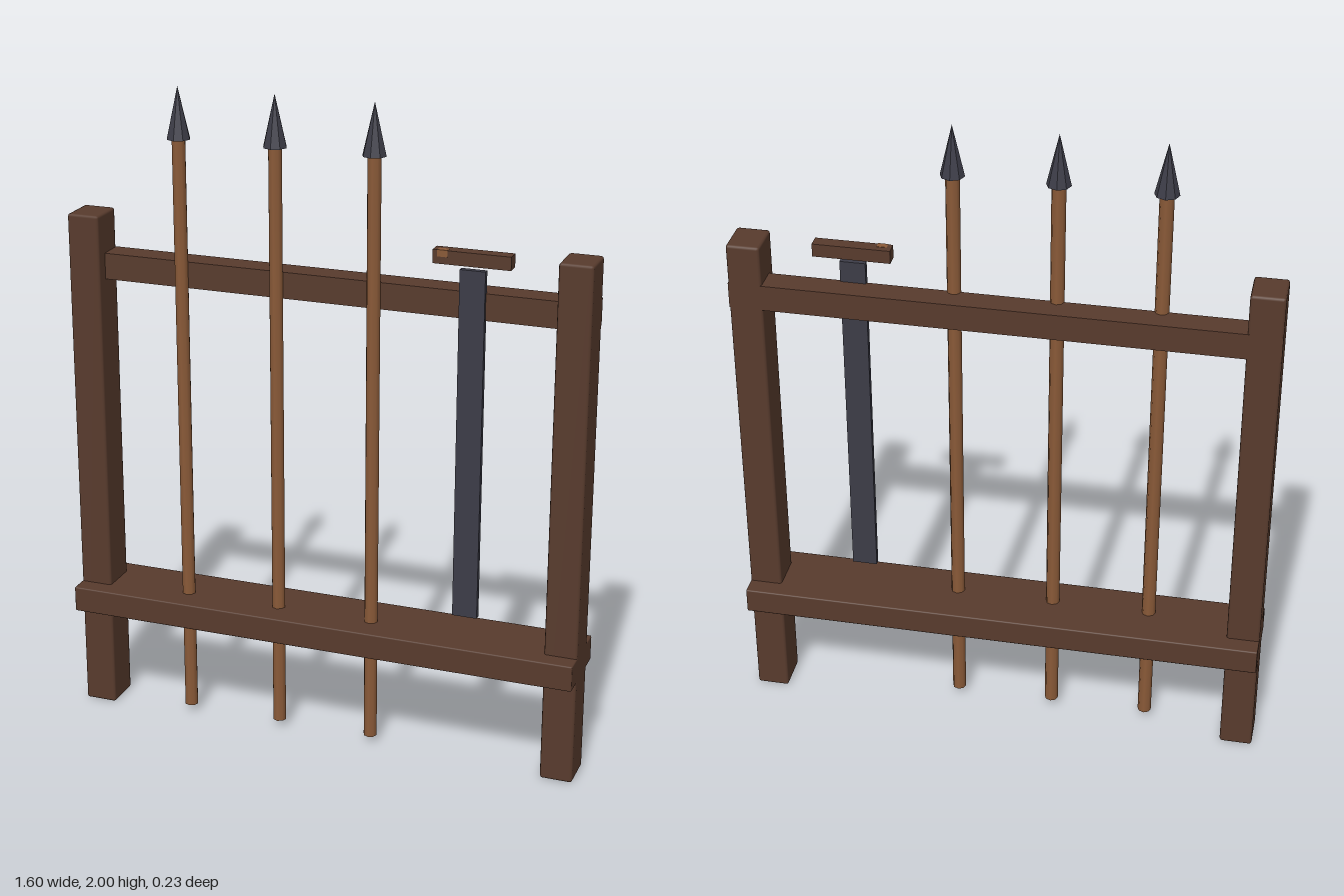
import * as THREE from 'three';
import { RoundedBoxGeometry } from 'three/addons/geometries/RoundedBoxGeometry.js';

const material = (name, color, flatShading = false) => {
  const m = new THREE.MeshStandardMaterial({ color, flatShading });
  m.name = name;
  return m;
};

export function createModel() {
  const darkWood = material('darkWood', 0x583b2d);
  const shaftWood = material('shaftWood', 0x8a5a38);
  const iron = material('iron', 0x3c3c47);
  iron.flatShading = true;

  const rack = new THREE.Group();
  rack.name = 'weaponRack';

  const add = (parent, name, geometry, mat, x, y, z) => {
    const mesh = new THREE.Mesh(geometry, mat);
    mesh.name = name;
    mesh.position.set(x, y, z);
    parent.add(mesh);
    return mesh;
  };

  // Bevelled upright posts
  for (const [name, side] of [['rightPost', -1], ['leftPost', 1]]) {
    add(rack, name, new RoundedBoxGeometry(0.1, 1.6, 0.12, 1, 0.008), darkWood, side * 0.75, 0.8, 0);
  }

  // Upper rail behind the weapons, and the wide lower shelf
  add(rack, 'topRail', new THREE.BoxGeometry(1.6, 0.08, 0.08), darkWood, 0, 1.438, -0.02);
  add(rack, 'shelf', new RoundedBoxGeometry(1.6, 0.08, 0.23, 1, 0.004), darkWood, 0, 0.37, 0);

  // Three spears standing through the shelf
  [-0.45, -0.15, 0.15].forEach((x, i) => {
    const spear = new THREE.Group();
    spear.name = `spear${i + 1}`;
    spear.position.set(x, 0, 0.021);
    add(spear, 'shaft', new THREE.CylinderGeometry(0.021, 0.021, 1.825, 8), shaftWood, 0, 0.9375, 0);
    add(spear, 'spearhead', new THREE.ConeGeometry(0.036, 0.154, 8), iron, 0, 1.923, 0);
    rack.add(spear);
  });

  // Hanging sword with a separate crossguard
  const sword = new THREE.Group();
  sword.name = 'sword';
  sword.position.set(0.446, 0, 0.021);
  add(sword, 'blade', new THREE.BoxGeometry(0.076, 1.068, 0.018), iron, 0, 1.01, 0);
  add(sword, 'crossguard', new THREE.BoxGeometry(0.23, 0.04, 0.04), darkWood, 0, 1.578, 0);
  // Small end of the grip showing through the guard
  add(sword, 'gripEnd', new THREE.BoxGeometry(0.03, 0.02, 0.021), shaftWood, -0.086, 1.589, 0.0105);
  rack.add(sword);

  return rack;
}
